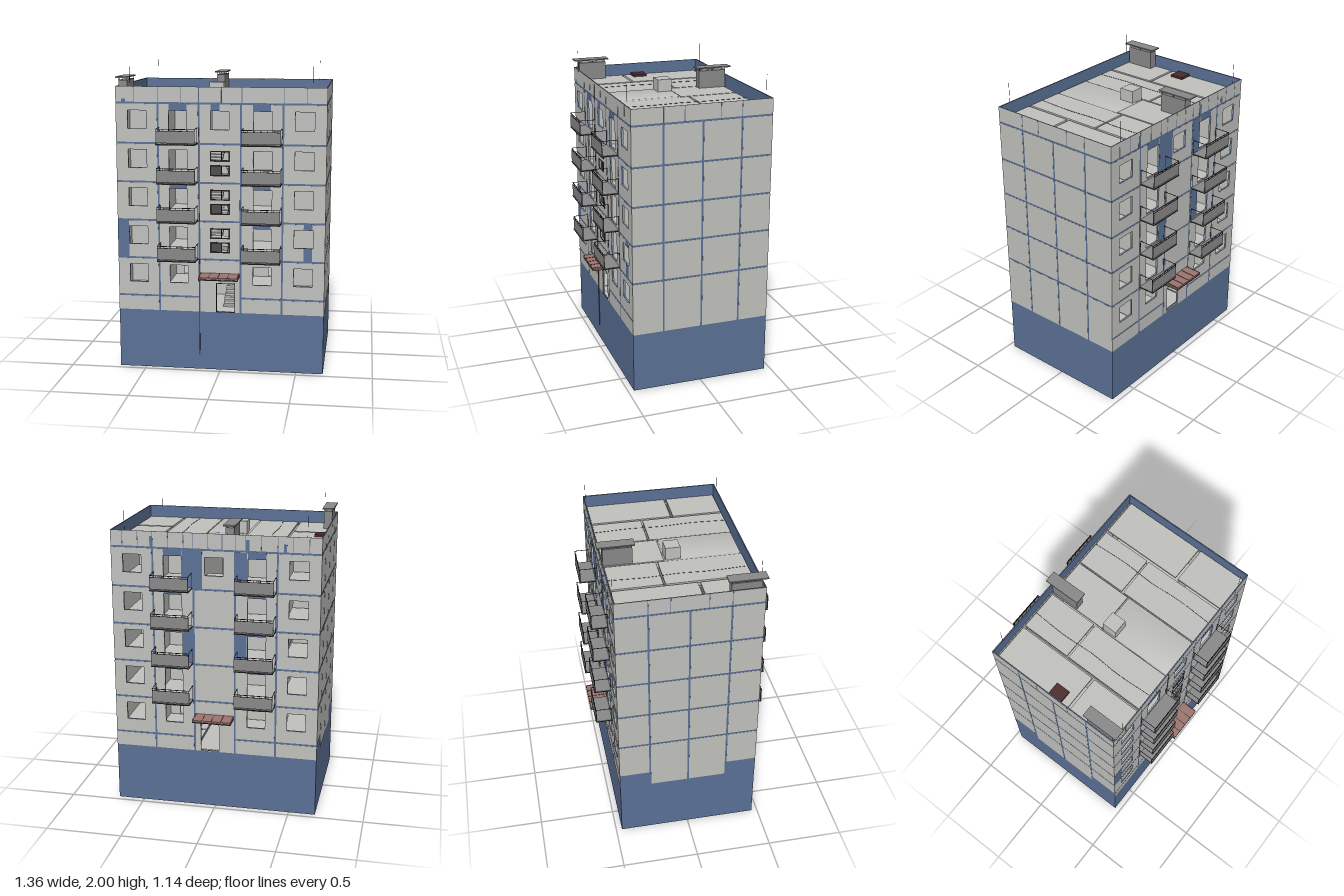
import * as THREE from 'three';
import { mergeVertices } from 'three/addons/utils/BufferGeometryUtils.js';

const mat = (name, color) => {
  const m = new THREE.MeshStandardMaterial({ color });
  m.name = name;
  return m;
};

export function createModel() {
  const concrete = mat('concrete', 0xc0c0bd);
  const blue = mat('blue joint', 0x5a7095);
  const grey = mat('balcony grey', 0x888888);
  const rust = mat('canopy rust', 0x9a736e);
  const maroon = mat('hatch maroon', 0x4a2a2d);
  const dark = mat('dark metal', 0x2b2224);
  const charcoal = mat('charcoal', 0x4c4c4c);
  const root = new THREE.Group();
  root.name = 'apartmentBlock';

  // box given by its limits
  const box = (parent, name, m, x0, x1, y0, y1, z0, z1) => {
    const b = new THREE.Mesh(new THREE.BoxGeometry(x1 - x0, y1 - y0, z1 - z0), m);
    b.position.set((x0 + x1) / 2, (y0 + y1) / 2, (z0 + z1) / 2);
    b.name = name;
    parent.add(b);
    return b;
  };
  const trace = (p, [u0, u1, v0, v1], g = 0) => {
    p.moveTo(u0 - g, v0 - g);
    p.lineTo(u1 + g, v0 - g);
    p.lineTo(u1 + g, v1 + g);
    p.lineTo(u0 - g, v1 + g);
    p.closePath();
    return p;
  };
  // upright plate with rectangular openings
  const plate = (parent, name, m, rect, holes, grow, z, depth) => {
    const s = trace(new THREE.Shape(), rect);
    holes.forEach(h => s.holes.push(trace(new THREE.Path(), h, grow)));
    const p = new THREE.Mesh(new THREE.ExtrudeGeometry(s, { depth, bevelEnabled: false }), m);
    p.position.z = z;
    p.name = name;
    parent.add(p);
  };

  const W = 0.678, D = 0.462, TOP = 1.87, BASE = 0.395, ROOF = 1.765, GAP = 0.006;
  const levels = [0.495, 0.75, 1.003, 1.255, 1.507];
  const rows = [...levels, ROOF];

  // wall: concrete lining, blue sheet, then thin concrete panels whose gaps form the joints
  const wall = (name, half, dist, angle, cols, rowsFor, holes, patches, seams) => {
    const g = new THREE.Group();
    g.name = name;
    g.rotation.y = angle;
    root.add(g);
    const edge = half - 0.001;
    plate(g, 'wallBacking', blue, [-edge, edge, 0, TOP - 0.001], holes, 0, dist - 0.007, 0.006);
    plate(g, 'wallLining', concrete, [-half + 0.012, half - 0.012, BASE + 0.001, ROOF], holes, 0, dist - 0.013, 0.006);
    const last = cols.length - 2;
    for (let i = 0; i <= last; i++) {
      const r = rowsFor(i);
      for (let j = 0; j < r.length - 1; j++) {
        const c = [cols[i] + (i ? GAP : 0), cols[i + 1] - (i < last ? GAP : 0),
          r[j] + (r[j] === BASE ? 0 : GAP), r[j + 1] - GAP];
        const inside = holes.filter(h => h[0] > c[0] && h[1] < c[1] && h[3] > c[2] && h[3] < c[3])
          .map(h => [h[0], h[1], Math.max(h[2], c[2] + 0.005), h[3]]);
        plate(g, 'wallPanel', concrete, c, inside, 0.002, dist - 0.001, 0.001);
      }
    }
    // parapet band
    const ends = [-half, ...seams, half];
    for (let i = 0; i < ends.length - 1; i++)
      plate(g, 'parapetPanel', concrete, [ends[i] + (i ? 0.002 : 0), ends[i + 1] - (i < seams.length ? 0.002 : 0), ROOF + GAP, TOP],
        [], 0, dist - 0.001, 0.001);
    patches.forEach(p => plate(g, 'bluePatch', blue, p, [], 0, dist, 0.0006));
    return g;
  };

  // openings of the two long fronts
  const openings = (isBack) => {
    const h = [];
    levels.forEach((b, i) => {
      const v = [b + 0.092, b + 0.21];
      for (const s of [-1, 1]) {
        const span = (a, c) => s < 0 ? [-c, -a] : [a, c];
        h.push([...span(0.479, 0.6), ...v]);
        h.push([...span(0.215, 0.333), i ? b + 0.02 : v[0], v[1]]);
      }
      if (i === 4) h.push([-0.062, 0.056, ...v]);
      else if (i && !isBack) {
        h.push([-0.063, 0.06, b + 0.048, b + 0.114]);
        h.push([-0.063, 0.06, b + 0.142, b + 0.206]);
      }
    });
    h.push(isBack ? [-0.095, 0.025, BASE + 0.005, 0.59] : [-0.025, 0.095, BASE + 0.005, 0.59]);
    return h;
  };
  const cols = [-W, -0.403, -0.137, 0.133, 0.403, W];
  const longRows = i => i === 2 ? [BASE, 0.64, ...rows.slice(1)] : [BASE, ...rows];
  const above = (i, u0, u1) => [u0, u1, levels[i] + 0.212, rows[i + 1]];
  const front = wall('frontWall', W, D, 0, cols, longRows, openings(false), [
    [-W, -0.603, 0.75, 1.0], [0.54, 0.595, 0.75, 0.84], [0.54, 0.595, 0.962, 1.0],
    above(4, -0.332, -0.215), above(2, -0.332, -0.215), above(4, 0.21, 0.325),
    above(2, 0.21, 0.325), above(1, 0.21, 0.325), above(4, -0.06, -0.003),
    [-0.64, -0.615, 1.765, 1.79]], [-0.56, -0.403, -0.255, -0.137, 0.01, 0.14, 0.41, 0.55]);
  const backPatches = [[-0.2, -0.08, 1.507, ROOF], [0.2, 0.225, ROOF, 1.84], [-0.42, -0.4, ROOF, 1.84], [0.44, 0.46, ROOF, 1.82]];
  levels.forEach((b, i) => {
    if (!i) return;
    for (const s of [-1, 1]) {
      backPatches.push(above(i, s < 0 ? -0.333 : 0.215, s < 0 ? -0.215 : 0.333));
      if ((i + s) % 2) backPatches.push(s < 0 ? [-0.21, -0.14, b, b + 0.25] : [0.14, 0.21, b, b + 0.25]);
    }
  });
  const back = wall('backWall', W, D, Math.PI, cols, longRows, openings(true), backPatches,
    [-0.6, -0.5, -0.403, -0.3, -0.2, -0.137, -0.04, 0.05, 0.133, 0.2, 0.3, 0.403, 0.5, 0.6]);
  const sideCols = [-D, -0.257, 0, 0.257, D], sideSeams = [-0.257, -0.12, 0.115, 0.257];
  wall('leftWall', D, W, Math.PI / 2, sideCols, () => [BASE, ...rows.slice(1)], [], [], sideSeams);
  wall('rightWall', D, W, -Math.PI / 2, sideCols,
    i => [i === 0 || i === 3 ? 0.495 : BASE, ...rows.slice(1)], [], [], sideSeams);

  // balconies
  const addBalcony = (g, s, b) => {
    const bal = new THREE.Group();
    bal.name = 'balcony';
    bal.position.set(s * 0.272, b, 0);
    g.add(bal);
    const z1 = 0.568, w = 0.125;
    box(bal, 'balconySlab', grey, -w, w, 0, 0.009, D, z1);
    box(bal, 'slabEdge', dark, -w - 0.001, w + 0.001, 0.001, 0.007, z1 - 0.002, z1 + 0.002);
    box(bal, 'balconyFront', grey, -w, w, 0.014, 0.088, z1 - 0.003, z1);
    box(bal, 'topRail', maroon, -w, w, 0.1, 0.104, z1 - 0.003, z1);
    box(bal, 'frontRail', dark, -w, w, 0.088, 0.091, z1 - 0.003, z1);
    for (let i = 0; i <= 6; i++) {
      const x = -w + 0.002 + i * (2 * w - 0.004) / 6;
      box(bal, 'railPost', dark, x - 0.0015, x + 0.0015, 0.005, 0.102, z1 - 0.006, z1 - 0.003);
    }
    for (const e of [-1, 1]) {
      const x = e * (w - 0.002);
      box(bal, 'slabSideEdge', dark, e * w - 0.001, e * w + 0.001, 0.001, 0.007, D, z1);
      box(bal, 'sideRail', maroon, x - 0.0015, x + 0.0015, 0.101, 0.104, D, z1);
      box(bal, 'wallPost', dark, x - 0.0015, x + 0.0015, 0.005, 0.102, D, D + 0.002);
    }
  };
  // entrance canopies
  for (const g of [front, back]) {
    for (const b of levels.slice(1)) for (const s of [-1, 1]) addBalcony(g, s, b);
    box(g, 'canopySlab', grey, -0.13, 0.126, 0.635, 0.643, D, 0.57);
    box(g, 'canopyEdge', dark, -0.13, 0.126, 0.636, 0.642, 0.57, 0.572);
    const top = box(g, 'canopyRoof', rust, -0.13, 0.126, 0.647, 0.657, D, 0.572);
    top.rotation.x = 0.04;
    for (const x of [-0.126, -0.066, -0.004, 0.058, 0.12]) {
      const rib = box(g, 'canopyRib', maroon, x, x + 0.002, 0.655, 0.659, D, 0.571);
      rib.rotation.x = 0.04;
    }
  }
  // stair window frames with a darkened lower left pane
  for (const b of levels.slice(1, 4)) for (const [v0, v1] of [[0.048, 0.114], [0.142, 0.206]]) {
    const o = [-0.066, 0.063, b + v0 - 0.003, b + v1 + 0.003];
    plate(front, 'stairWindowFrame', dark, o, [[o[0] + 0.008, o[1] - 0.008, o[2] + 0.008, o[3] - 0.008]], 0, D - 0.002, 0.003);
    box(front, 'stairWindowMullion', dark, 0.004, 0.009, o[2], o[3], D - 0.012, D - 0.006);
    if (v0 < 0.1) box(front, 'stairWindowPane', charcoal, -0.063, 0.004, o[2], o[3], D - 0.02, D - 0.013);
  }
  plate(front, 'doorFrame', dark, [-0.028, 0.098, BASE, 0.593], [[-0.024, 0.094, BASE + 0.004, 0.589]], 0, D - 0.002, 0.003);

  // floors and roof: one slab for each room, with narrow gaps between rooms
  const rooms = [[-0.13, 0.13, -0.438, -0.055]];
  for (const s of [-1, 1]) for (const [a, c, z0, z1] of [
    [0.421, 0.666, -0.438, 0.1], [0.421, 0.666, 0.117, 0.449],
    [0.14, 0.404, -0.438, -0.11], [0.14, 0.404, -0.097, 0.449]])
    rooms.push(s < 0 ? [-c, -a, z0, z1] : [a, c, z0, z1]);
  [...levels, 1.782].forEach((y, i) => rooms.slice(i ? 0 : 1).forEach(r =>
    box(root, i === 5 ? 'roofSlab' : 'floorSlab', concrete, r[0], r[1], y - 0.006, y + 0.008, r[2], r[3])));
  [...rooms, [-0.13, 0.13, -0.055, 0.449]].forEach(r => {
    box(root, 'basementCeiling', blue, r[0], r[1], 0.389, 0.394, r[2], r[3]);
    box(root, 'groundFloor', concrete, r[0], r[1], 0.394, 0.398, r[2], r[3]);
  });
  for (const [x0, x1] of [[-0.64, -0.421], [-0.404, -0.14], [-0.13, 0.13]])
    box(root, 'entranceSlab', grey, x0, x1, 0.38, 0.388, 0.2, 0.444);
  // stair roof with soft shading across its corners
  const stairRoof = box(root, 'stairRoof', concrete, -0.13, 0.13, 1.735, 1.795, -0.045, 0.444);
  stairRoof.geometry.deleteAttribute('normal');
  stairRoof.geometry.deleteAttribute('uv');
  stairRoof.geometry = mergeVertices(stairRoof.geometry);
  stairRoof.geometry.computeVertexNormals();

  // inner walls standing beside the gaps, with a passage on the ground floor
  levels.forEach((b, i) => {
    const t = b + 0.246;
    for (const s of [-1, 1]) {
      const wallAt = (a, c, z0, z1) => box(root, 'partition', concrete, ...(s < 0 ? [-c, -a] : [a, c]), b, t, z0, z1);
      wallAt(0.14, 0.146, -0.438, 0.445);
      wallAt(0.397, 0.404, -0.438, 0.445);
      wallAt(0.421, 0.666, 0.117, 0.123);
      wallAt(0.146, s < 0 ? 0.275 : 0.262, -0.097, -0.091);
      if (i) wallAt(0.262, 0.397, -0.097, -0.091);
      else wallAt(s < 0 ? 0.336 : 0.328, 0.397, -0.097, -0.091);
    }
    box(root, 'landingWall', concrete, -0.13, 0.01, b, t, -0.062, -0.056);
    if (i < 4) box(root, 'landingWall', concrete, 0.01, 0.13, b, t, -0.062, -0.056);
  });

  // stairs: two flights for each storey with a landing between
  levels.slice(0, 4).forEach(b => {
    box(root, 'stairLanding', concrete, -0.13, 0.13, b + 0.122, b + 0.13, 0.32, 0.43);
    for (let k = 0; k < 8; k++) {
      const y = b + 0.015 * (k + 1), z = 0.04 + k * 0.035;
      box(root, 'stairStep', concrete, 0.004, 0.125, y - 0.015, y, z, z + 0.036);
      box(root, 'stairStep', concrete, -0.125, -0.004, b + 0.252 - 0.015 * (k + 1), b + 0.267 - 0.015 * (k + 1), z, z + 0.036);
    }
  });
  for (let k = 0; k < 6; k++)
    box(root, 'entranceStep', concrete, 0, 0.125, 0.396, 0.411 + k * 0.017, 0.3 - k * 0.035, 0.337 - k * 0.035);
  box(root, 'entranceWall', concrete, -0.13, 0, 0.398, 0.52, 0.03, 0.036);

  // roof fittings
  for (const [x0, z0] of [[-0.672, 0.232], [-0.137, -0.48]]) {
    const zi = z0 > 0 ? z0 + 0.02 : z0 + 0.036;
    box(root, 'ventShaft', grey, x0 + 0.013, x0 + 0.069, 1.78, 1.908, zi, zi + 0.19);
    box(root, 'ventCap', grey, x0, x0 + 0.077, 1.923, 1.931, z0, z0 + 0.243);
    for (const px of [0.014, 0.064]) for (const pz of [0.002, 0.094, 0.185])
      box(root, 'ventCapPost', dark, x0 + px, x0 + px + 0.003, 1.906, 1.925, zi + pz, zi + pz + 0.003);
  }
  box(root, 'roofHouse', concrete, -0.13, -0.033, 1.79, 1.876, -0.045, 0.053);
  box(root, 'roofHatch', maroon, -0.666, -0.576, 1.785, 1.805, -0.045, 0.05);
  for (const s of [-1, 1]) {
    const pts = [-0.44, -0.2, 0, 0.2, 0.44].map((z, i) => new THREE.Vector3(s * (0.302 + (i % 2 ? 0.006 : -0.004)), 1.791, z));
    const cable = new THREE.Mesh(new THREE.TubeGeometry(new THREE.CatmullRomCurve3(pts), 16, 0.001, 5), dark);
    cable.name = 'roofCable';
    root.add(cable);
    for (const z of [-0.455, 0.455])
      box(root, 'antenna', dark, s * 0.585 - 0.0008, s * 0.585 + 0.0008, 1.86, 2, z - 0.0008, z + 0.0008);
  }
  // drain pipe beside the entrance, with a thin cable above it
  box(root, 'drainPipe', charcoal, -0.142, -0.135, 0.1, 0.75, D, D + 0.004);
  box(root, 'wallCable', charcoal, -0.139, -0.137, 0.75, 1.85, D, D + 0.002);
  return root;
}
